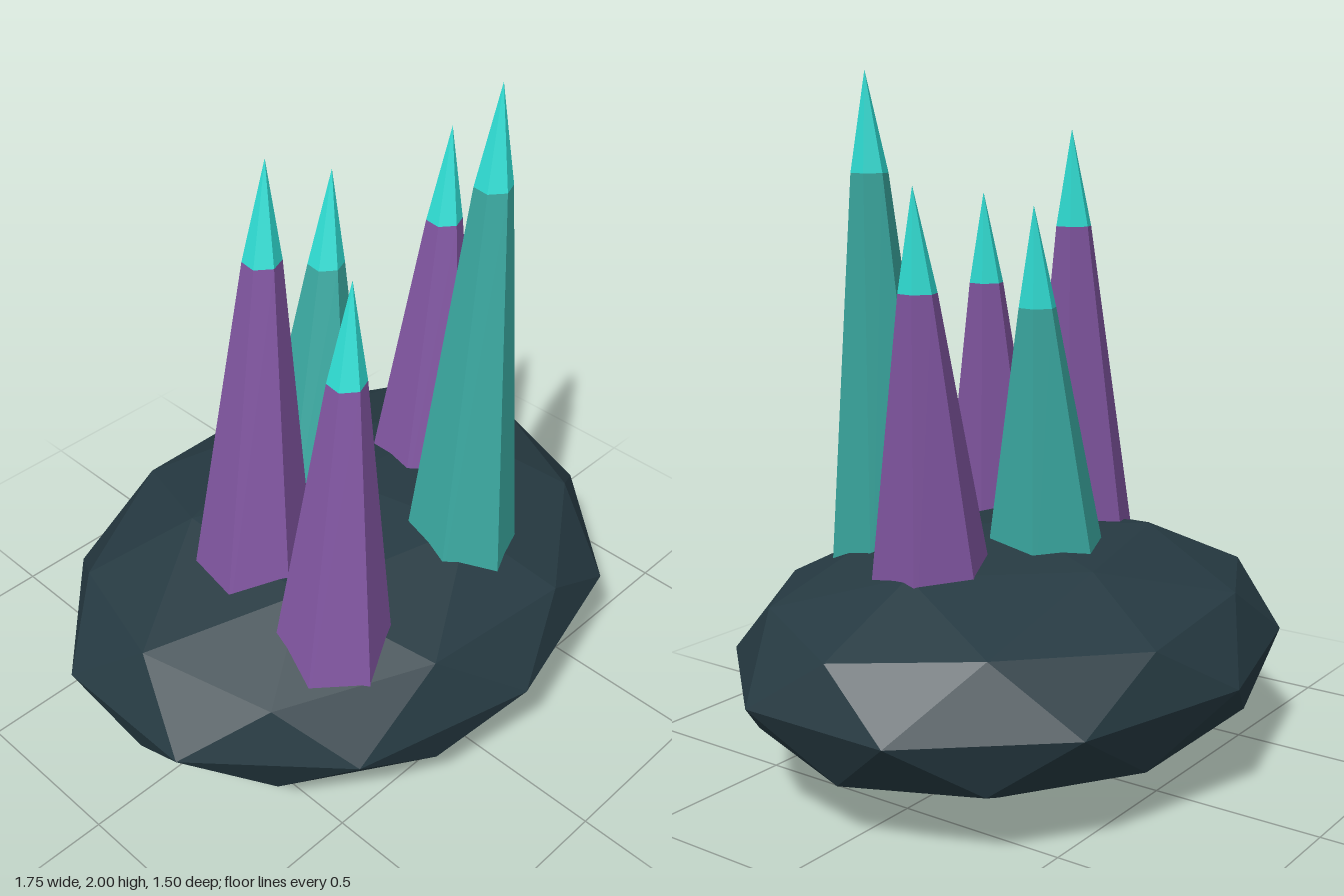
import * as THREE from 'three';

const material = (name, color) => {
  const m = new THREE.MeshStandardMaterial({ color });
  m.name = name;
  return m;
};

// Split faces so every facet gets its own flat normal
function faceted(geometry) {
  const g = geometry.index ? geometry.toNonIndexed() : geometry;
  g.computeVertexNormals();
  return g;
}

function part(name, geometry, mat) {
  const mesh = new THREE.Mesh(faceted(geometry), mat);
  mesh.name = name;
  return mesh;
}

const SIDES = 6;
const TURN = THREE.MathUtils.degToRad(-8);
const TIP_HEIGHT = 0.28;
const TIP_RADIUS = 0.054;
const ROOT_Y = 0.42; // buried inside the rock

// Leaning crystal: root = centre where it leaves the rock, apex = point
function makeCrystal(name, root, apex, bodyMaterial, tipMaterial) {
  const [rx, ry, rz] = root;
  const [ax, ay, az] = apex;
  const ringY = ay - TIP_HEIGHT;
  const slopeX = (ax - rx) / (ay - ry);
  const slopeZ = (az - rz) / (ay - ry);
  const flare = (0.167 - TIP_RADIUS) / (ringY - ry);
  const rootRadius = TIP_RADIUS + flare * (ringY - ROOT_Y);

  // Rings stay level while the axis leans toward the apex
  const lean = new THREE.Matrix4().set(
    1, slopeX, 0, ax - slopeX * ay,
    0, 1, 0, 0,
    0, slopeZ, 1, az - slopeZ * ay,
    0, 0, 0, 1
  );

  const height = ringY - ROOT_Y;
  const body = new THREE.CylinderGeometry(TIP_RADIUS, rootRadius, height, SIDES, 1, false, TURN);
  body.translate(0, ROOT_Y + height / 2, 0).applyMatrix4(lean);
  const tip = new THREE.ConeGeometry(TIP_RADIUS, TIP_HEIGHT, SIDES, 1, true, TURN);
  tip.translate(0, ringY + TIP_HEIGHT / 2, 0).applyMatrix4(lean);

  const crystal = new THREE.Group();
  crystal.name = name;
  crystal.add(part('crystalBody', body, bodyMaterial), part('crystalTip', tip, tipMaterial));
  return crystal;
}

export function createModel() {
  const rock = material('dark slate rock', 0x263a42);
  const teal = material('teal crystal', 0x3aa8a0);
  const purple = material('purple crystal', 0x8055a0);
  const glow = material('bright cyan tip', 0x2fded4);

  const model = new THREE.Group();
  model.name = 'crystalCluster';

  // Flattened faceted boulder, turned so one corner points straight up
  const boulder = new THREE.IcosahedronGeometry(1, 1);
  boulder.rotateZ(-Math.atan(2 / (1 + Math.sqrt(5))));
  boulder.scale(0.92, 0.355, 0.75).translate(0, 0.355, 0);
  model.add(part('rockBase', boulder, rock));

  // Five crystals leaning toward the left
  const crystals = [
    ['frontTallCrystal', [0.155, 0.6, 0.347], [0.28, 2.0, 0.3], teal],
    ['leftCrystal', [0.355, 0.64, 0.022], [0.477, 1.7, -0.025], purple],
    ['frontRightCrystal', [-0.39, 0.55, 0.355], [-0.257, 1.65, 0.295], purple],
    ['backRightCrystal', [-0.35, 0.65, -0.003], [-0.215, 1.84, -0.055], purple],
    ['backCrystal', [0.007, 0.69, -0.12], [0.137, 1.64, -0.167], teal],
  ];
  for (const [name, root, apex, body] of crystals) {
    model.add(makeCrystal(name, root, apex, body, glow));
  }
  return model;
}
